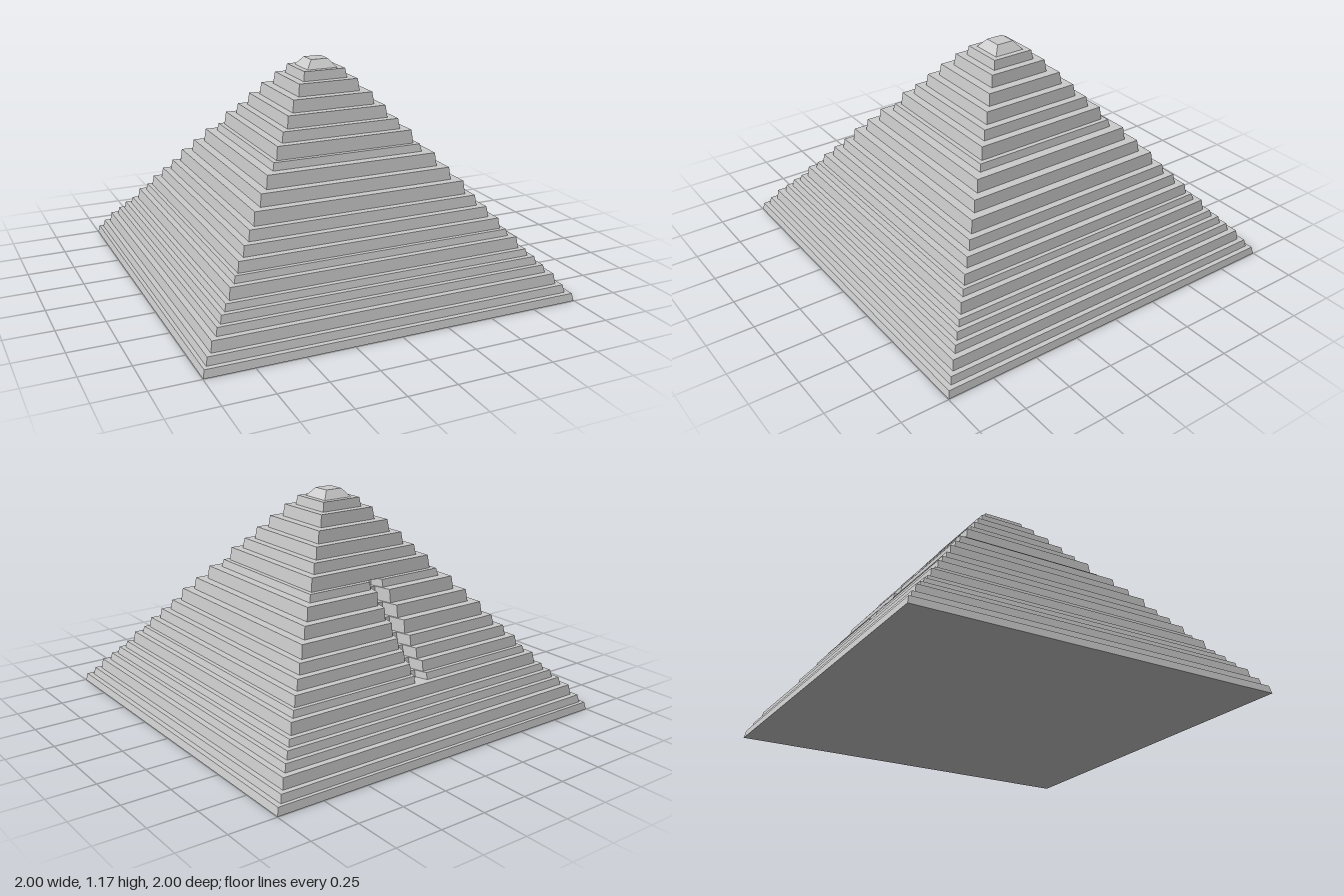
import * as THREE from 'three';

const stone = new THREE.MeshStandardMaterial({ color: 0xcccccc });
stone.name = 'paleStone';

// half width at the foot and top height of each course, from the ground up
const courses = [
  [0.998, 0.04], [0.967, 0.08], [0.932, 0.135], [0.892, 0.175], [0.859, 0.215],
  [0.825, 0.25], [0.79, 0.31], [0.75, 0.345], [0.72, 0.4], [0.675, 0.455],
  [0.63, 0.51], [0.585, 0.58], [0.53, 0.645], [0.475, 0.715], [0.417, 0.755],
  [0.384, 0.825], [0.332, 0.88], [0.283, 0.945], [0.231, 1.01], [0.174, 1.075],
  [0.124, 1.125], [0.085, 1.17],
];
const FIRST_CUT = 7, LAST_CUT = 14;

// square course tapering upward; an optional notch is cut in its back edge
function courseGeometry(half, topHalf, height, notch) {
  const pts = [[-half, -half], [half, -half], [half, half]];
  if (notch) {
    const { left, right, inner } = notch;
    pts.push([right, half], [right - 0.022, inner], [left + 0.022, inner], [left, half]);
  }
  pts.push([-half, half]);
  const shape = new THREE.Shape(pts.map(([x, y]) => new THREE.Vector2(x, y)));
  const geo = new THREE.ExtrudeGeometry(shape, { depth: height, bevelEnabled: false });
  const p = geo.attributes.position;
  const k = topHalf / half;
  for (let i = 0; i < p.count; i++) {
    if (p.getZ(i) > height / 2) p.setXY(i, p.getX(i) * k, p.getY(i) * k);
  }
  geo.rotateX(-Math.PI / 2);
  geo.computeVertexNormals();
  return geo;
}

export function createModel() {
  const model = new THREE.Group();
  model.name = 'steppedPyramid';

  let y = 0;
  courses.forEach(([half, top], i) => {
    const isCap = i === courses.length - 1;
    // the gully wanders slightly as it climbs the back face
    let notch = null;
    if (i >= FIRST_CUT && i <= LAST_CUT) {
      const t = (i - FIRST_CUT) / (LAST_CUT - FIRST_CUT);
      notch = {
        left: -0.062 + 0.022 * t,
        right: 0.018 + 0.022 * t,
        inner: courses[i + 1][0] - 0.035,
      };
    }
    const topHalf = isCap ? 0.048 : half - 0.008;
    const mesh = new THREE.Mesh(courseGeometry(half, topHalf, top - y, notch), stone);
    mesh.name = isCap ? 'capstone' : notch ? 'notchedCourse' : 'course';
    mesh.position.set(i ? -0.004 : 0, y, i ? -0.004 : 0);
    model.add(mesh);
    y = top;
  });

  return model;
}
